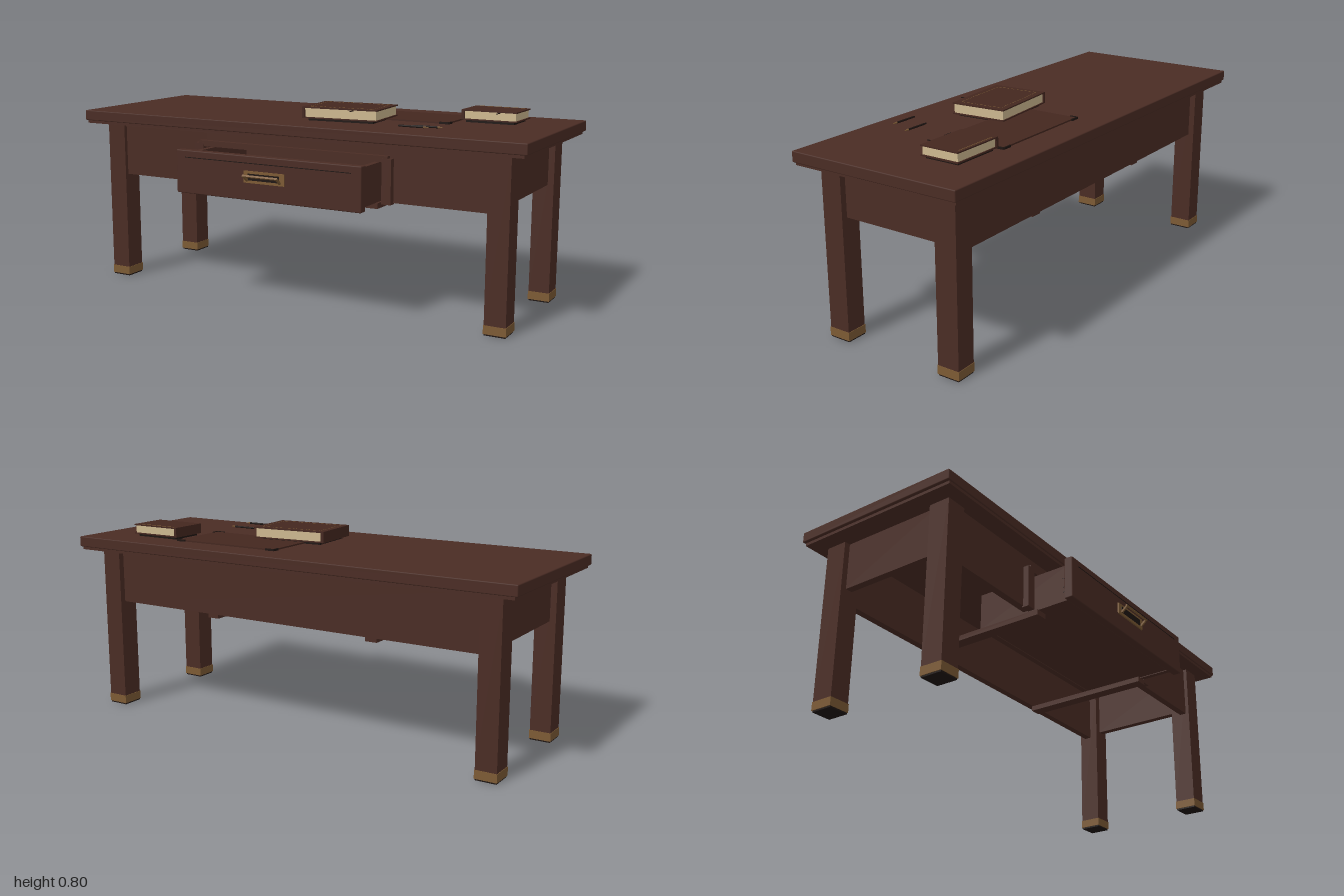
import * as THREE from 'three';
import { RoundedBoxGeometry } from 'three/addons/geometries/RoundedBoxGeometry.js';

const mat = (name, color) => {
  const m = new THREE.MeshStandardMaterial({ color });
  m.name = name;
  return m;
};

export function createModel() {
  const wood = mat('dark wood', 0x4a2c24);
  const brass = mat('aged brass', 0x7c5a34);
  const leather = mat('leather', 0x44271f);
  const paper = mat('paper', 0xcdb88f);
  const dark = mat('dark trim', 0x1e1512);
  const root = new THREE.Group();
  root.name = 'writingDesk';

  const add = (parent, name, geo, material, x = 0, y = 0, z = 0) => {
    const m = new THREE.Mesh(geo, material);
    m.name = name;
    m.position.set(x, y, z);
    parent.add(m);
    return m;
  };
  // box given by its lower and upper bounds
  const box = (parent, name, material, [x0, x1], [y0, y1], [z0, z1]) =>
    add(parent, name, new THREE.BoxGeometry(x1 - x0, y1 - y0, z1 - z0), material,
      (x0 + x1) / 2, (y0 + y1) / 2, (z0 + z1) / 2);
  // box mirrored across x = 0
  const pair = (parent, name, material, [x0, x1], y, z) => {
    box(parent, name + 'Left', material, [x0, x1], y, z);
    box(parent, name + 'Right', material, [-x1, -x0], y, z);
  };
  const group = (name, parent = root) => {
    const g = new THREE.Group();
    g.name = name;
    parent.add(g);
    return g;
  };

  // tabletop with a moulding below
  add(root, 'tabletop', new RoundedBoxGeometry(2, 0.043, 0.73, 1, 0.004), wood, 0, 0.7185, -0.082);
  box(root, 'topMoulding', wood, [-0.988, 0.988], [0.685, 0.698], [-0.44, 0.278]);

  // legs with brass feet
  for (const [end, z0, z1] of [['front', 0.131, 0.221], ['back', -0.385, -0.294]]) {
    pair(root, end + 'Leg', wood, [0.837, 0.923], [0.04, 0.686], [z0, z1]);
    pair(root, end + 'Foot', brass, [0.835, 0.925], [0.006, 0.04], [z0 - 0.002, z1 + 0.002]);
    pair(root, end + 'FootPad', dark, [0.838, 0.922], [0, 0.006], [z0 + 0.001, z1 - 0.001]);
  }

  // aprons, with the drawer opening left free in the front one
  pair(root, 'sideApron', wood, [0.868, 0.898], [0.49, 0.686], [-0.3, 0.14]);
  box(root, 'backApron', wood, [-0.84, 0.84], [0.46, 0.686], [-0.36, -0.33]);
  pair(root, 'frontApron', wood, [0.41, 0.84], [0.46, 0.686], [0.175, 0.205]);
  box(root, 'frontRail', wood, [-0.41, 0.41], [0.618, 0.686], [0.175, 0.205]);

  // frame round the opening and the runners below it
  pair(root, 'openingPost', wood, [0.412, 0.452], [0.455, 0.632], [0.2, 0.229]);
  box(root, 'openingLintel', wood, [-0.435, 0.435], [0.618, 0.642], [0.2, 0.227]);
  pair(root, 'drawerRunner', wood, [0.35, 0.4], [0.437, 0.459], [-0.335, 0.236]);

  // open drawer
  const drawer = group('drawer');
  pair(drawer, 'drawerSide', wood, [0.37, 0.392], [0.46, 0.614], [-0.05, 0.375]);
  box(drawer, 'drawerBack', wood, [-0.37, 0.37], [0.46, 0.6], [-0.05, -0.03]);
  box(drawer, 'drawerBottom', wood, [-0.37, 0.37], [0.463, 0.473], [-0.03, 0.375]);
  add(drawer, 'drawerFront', new RoundedBoxGeometry(0.836, 0.175, 0.036, 1, 0.004), wood, 0, 0.541, 0.39);
  box(drawer, 'frontGroove', dark, [-0.375, 0.375], [0.599, 0.602], [0.407, 0.409]);
  for (const y of [0.5, 0.522, 0.56])
    pair(drawer, 'dovetailLine', dark, [0.391, 0.393], [y - 0.001, y + 0.001], [0.348, 0.372]);

  // brass plate and hinged pull
  const handle = group('handle', drawer);
  box(handle, 'handlePlate', brass, [-0.093, 0.091], [0.524, 0.571], [0.407, 0.414]);
  box(handle, 'handleRecess', dark, [-0.072, 0.07], [0.535, 0.561], [0.412, 0.416]);
  const bail = group('bail', handle);
  bail.position.set(0, 0.534, 0.417);
  bail.rotation.x = 0.85;
  box(bail, 'bailBar', brass, [-0.08, 0.078], [0.028, 0.036], [-0.004, 0.004]);
  pair(bail, 'bailArm', brass, [0.07, 0.078], [0, 0.03], [-0.004, 0.004]);

  // flat folder with dark corners
  const folder = group('folder');
  box(folder, 'folderCover', leather, [0.08, 0.56], [0.739, 0.746], [-0.318, -0.06]);
  for (const [x, sx] of [[0.076, 1], [0.564, -1]])
    for (const [z, sz] of [[-0.322, 1], [-0.056, -1]]) {
      const xs = [x, x + sx * 0.04].sort((a, b) => a - b);
      const zs = [z, z + sz * 0.03].sort((a, b) => a - b);
      box(folder, 'folderCornerX', dark, xs, [0.739, 0.748], [z - 0.003, z + 0.003]);
      box(folder, 'folderCornerZ', dark, [x - 0.003, x + 0.003], [0.739, 0.748], zs);
    }

  // book with covers, spine at -x, page block, ribbon and stitched border
  const book = (name, w, d, h, x, y, z, turn) => {
    const g = group(name);
    g.position.set(x, y, z);
    g.rotation.y = turn;
    const X = [-w / 2, w / 2], Z = [-d / 2, d / 2], t = 0.005;
    box(g, 'backCover', leather, X, [0, t], Z);
    box(g, 'frontCover', leather, X, [h - t, h], Z);
    box(g, 'spine', leather, [-w / 2, -w / 2 + 0.012], [t, h - t], Z);
    box(g, 'pages', paper, [-w / 2 + 0.012, w / 2 - 0.006], [t, h - t], [-d / 2 + 0.005, d / 2 - 0.005]);
    box(g, 'ribbon', dark, [w * 0.17, w * 0.17 + 0.006], [h - t - 0.003, h - t - 0.001], [0, d / 2 + 0.028]);
    return g;
  };
  const large = book('largeBook', 0.325, 0.23, 0.046, 0.153, 0.75, -0.007, 0.08);
  const stitch = (parent, hx, hz, y, n, m) => {
    for (const s of [-1, 1]) {
      for (let i = 0; i < n; i++) {
        const cx = -hx + (i + 0.5) * 2 * hx / n;
        box(parent, 'stitch', brass, [cx - hx / n * 0.6, cx + hx / n * 0.6], [y, y + 0.001], [s * hz - 0.001, s * hz + 0.001]);
      }
      for (let i = 0; i < m; i++) {
        const cz = -hz + (i + 0.5) * 2 * hz / m;
        box(parent, 'stitch', brass, [s * hx - 0.001, s * hx + 0.001], [y, y + 0.001], [cz - hz / m * 0.6, cz + hz / m * 0.6]);
      }
    }
  };
  stitch(large, 0.137, 0.09, 0.046, 14, 9);

  const small = book('smallBook', 0.23, 0.163, 0.041, 0.695, 0.75, -0.229, 0);
  box(small, 'goldLine', brass, [-0.095, 0.095], [0.041, 0.042], [-0.072, -0.069]);
  box(small, 'bookRest', dark, [-0.1, 0.1], [-0.011, 0], [-0.07, 0.07]);
  box(large, 'bookRest', dark, [-0.14, 0.14], [-0.011, 0], [-0.1, 0.1]);

  // two slim pens
  for (const [x, y, z] of [[0.54, 0.748, 0.1], [0.515, 0.756, 0.178]]) {
    const pen = group('pen');
    pen.position.set(x, y, z);
    pen.rotation.z = Math.PI / 2;
    add(pen, 'penBarrel', new THREE.CylinderGeometry(0.004, 0.004, 0.09, 8), dark);
    add(pen, 'penTip', new THREE.CylinderGeometry(0.004, 0.001, 0.02, 8), brass, 0, -0.055);
    add(pen, 'penEnd', new THREE.CylinderGeometry(0.003, 0.004, 0.014, 8), dark, 0, 0.052);
  }
  return root;
}
